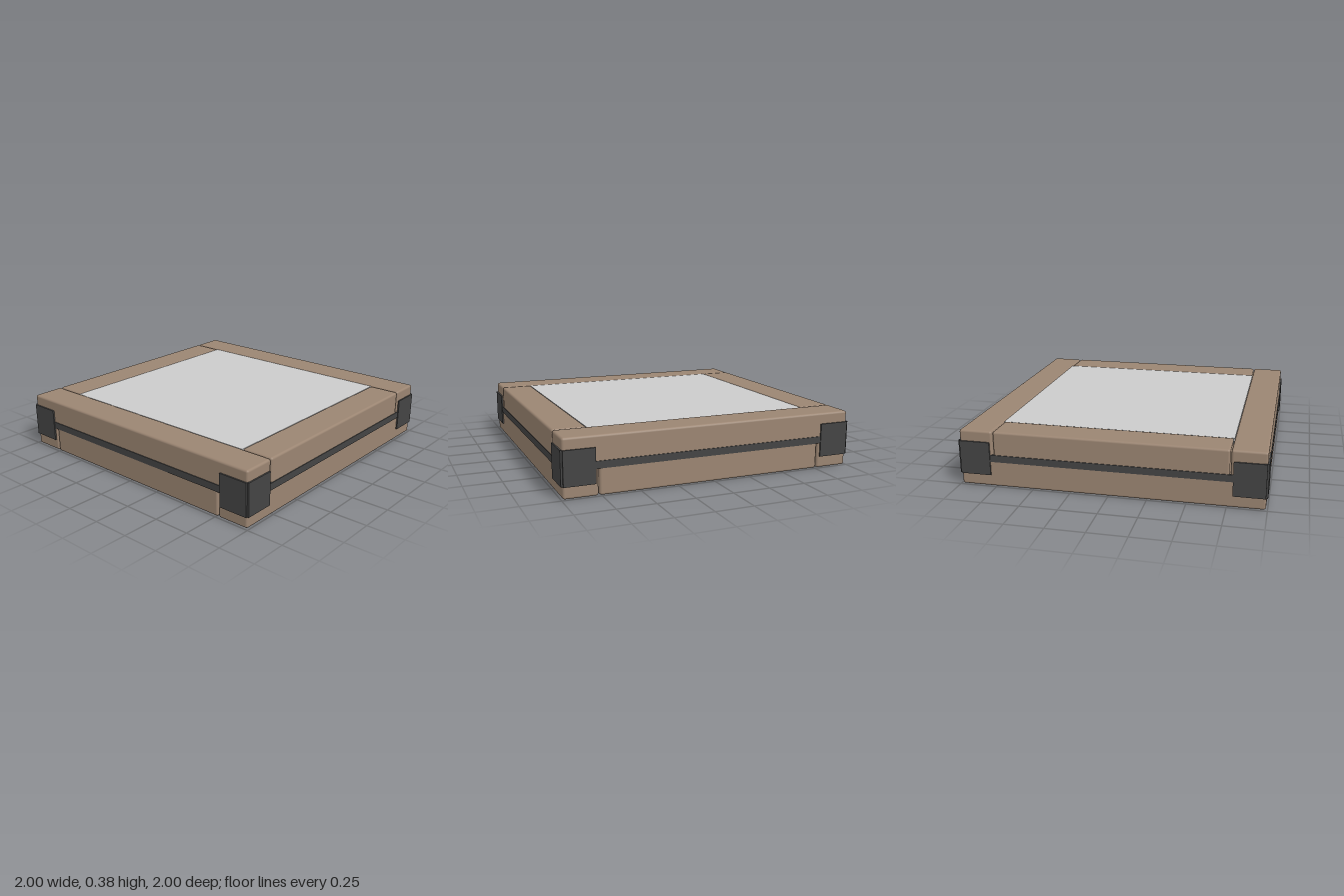
import * as THREE from 'three';
import { RoundedBoxGeometry } from 'three/addons/geometries/RoundedBoxGeometry.js';

const wood = new THREE.MeshStandardMaterial({ color: 0x9b8572 });
const metal = new THREE.MeshStandardMaterial({ color: 0x444444 });
const grey = new THREE.MeshStandardMaterial({ color: 0xcccccc });

const OUT = 0.99;    // outer face of the beams
const IN = 0.768;    // inner face of the beams
const LAYER = 0.1875; // height of one beam layer

export function createModel() {
  const model = new THREE.Group();

  const add = (parent, name, geometry, material, x, y, z) => {
    const mesh = new THREE.Mesh(geometry, material);
    mesh.name = name;
    mesh.position.set(x, y, z);
    parent.add(mesh);
  };

  // Two stacked layers of beams with alternating lap joints
  const depth = OUT - IN;
  const longBeam = new RoundedBoxGeometry(2 * OUT, LAYER, depth, 2, 0.015);
  const shortBeam = new RoundedBoxGeometry(2 * IN - 0.012, LAYER, depth, 2, 0.015);
  const mid = (OUT + IN) / 2;

  // Each side is made facing +z and turned about the centre
  ['front', 'left', 'back', 'right'].forEach((sideName, i) => {
    const side = new THREE.Group();
    side.name = sideName + 'Side';
    side.rotation.y = i * Math.PI / 2;
    const longOnTop = i % 2 === 0;
    add(side, 'upperBeam', longOnTop ? longBeam : shortBeam, wood, 0, LAYER * 1.5, mid);
    add(side, 'lowerBeam', longOnTop ? shortBeam : longBeam, wood, 0, LAYER * 0.5, mid);

    // Dark band covering the seam between the layers
    add(side, 'seamBand', new THREE.BoxGeometry(1.6, 0.047, 0.014), metal, 0, 0.193, 0.988);

    // Corner plates at both ends
    for (const s of [-1, 1]) {
      add(side, 'cornerPlate', new THREE.BoxGeometry(0.203, 0.224, 0.02), metal, s * 0.8865, 0.19, 0.99);
    }
    model.add(side);
  });

  // Thin panel set flush inside the top of the frame
  add(model, 'panel', new THREE.BoxGeometry(2 * IN, 0.02, 2 * IN), grey, 0, 0.361, 0);

  return model;
}
